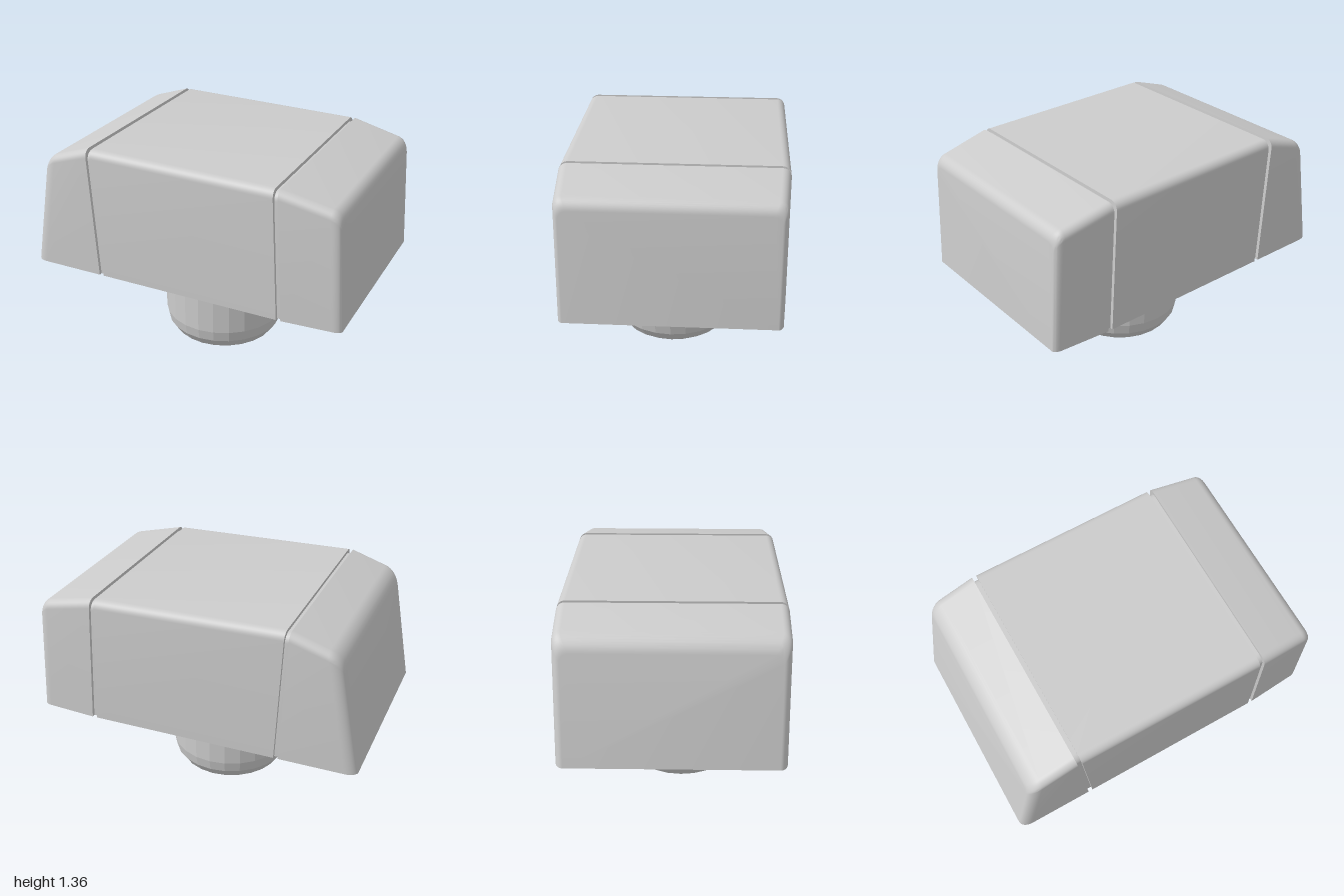
import * as THREE from 'three';
import { toCreasedNormals } from 'three/addons/utils/BufferGeometryUtils.js';

const BASE = 0.55;     // height of the body's underside
const EDGE = 0.05;     // rounding of the long top edges
const SEG = 8;         // segments per rounding

// One leaning cross-section: x at the base, lean (dx per dy), top height, half width
function section({ x, lean, h, w }) {
  const pts = [];
  const add = (z, y) => pts.push(new THREE.Vector3(x + lean * (y - BASE), y, z));
  add(-w, BASE);
  for (const side of [-1, 1]) {
    for (let i = 0; i <= SEG; i++) {
      const a = (i / SEG) * Math.PI / 2;
      const t = side < 0 ? a : Math.PI / 2 - a;
      add(side * (w - EDGE + EDGE * Math.cos(t)), h - EDGE + EDGE * Math.sin(t));
    }
  }
  add(w, BASE);
  return pts;
}

// Skin a row of cross-sections running from -x to +x and close both ends
function loft(stations) {
  const rings = stations.map(section);
  const n = rings[0].length;
  const pos = [];
  const tri = (...p) => p.forEach((v) => pos.push(v.x, v.y, v.z));
  for (let s = 0; s < rings.length - 1; s++) {
    const a = rings[s], b = rings[s + 1];
    for (let i = 0; i < n; i++) {
      const j = (i + 1) % n;
      tri(a[i], a[j], b[i]);
      tri(a[j], b[j], b[i]);
    }
  }
  const first = rings[0], last = rings[rings.length - 1];
  for (let i = 1; i < n - 1; i++) {
    tri(first[0], first[i + 1], first[i]);
    tri(last[0], last[i], last[i + 1]);
  }
  const geo = new THREE.BufferGeometry();
  geo.setAttribute('position', new THREE.Float32BufferAttribute(pos, 3));
  return toCreasedNormals(geo, 0.5);
}

// Rounded end, listed from the flat end face inwards; dir points into the body
function roundedEnd({ x, lean, h, w, slope, rTop, rSide, dir }) {
  return Array.from({ length: SEG + 1 }, (_, i) => {
    const a = (i / SEG) * Math.PI / 2;
    const inset = 1 - Math.sin(a);
    const run = rTop * (1 - Math.cos(a));
    return { x: x + dir * run, lean, h: h + slope * run - rTop * inset, w: w - rSide * inset };
  });
}

// Narrow recessed channel between two stations
function groove(a, b, depth = 0.02) {
  const sink = (s) => ({ ...s, h: s.h - depth, w: s.w - depth });
  return [a, sink(a), sink(b), b];
}

export function createModel() {
  const model = new THREE.Group();
  const grey = { color: 0xcccccc };

  // Body: sloped left end, long middle, tapered right end, split by two grooves
  const w = 0.64;
  const leftEnd = roundedEnd({ x: -1, lean: 0.18, h: 1.262, w, slope: 0.32, rTop: 0.07, rSide: 0.045, dir: 1 });
  const rightEnd = roundedEnd({ x: 1, lean: -0.06, h: 1.257, w: 0.62, slope: 0.226, rTop: 0.055, rSide: 0.03, dir: -1 });
  const stations = [
    ...leftEnd,
    ...groove({ x: -0.54, lean: -0.056, h: 1.355, w }, { x: -0.513, lean: -0.056, h: 1.355, w }),
    ...groove({ x: 0.622, lean: -0.05, h: 1.335, w }, { x: 0.65, lean: -0.05, h: 1.335, w }),
    ...rightEnd.reverse(),
  ];
  const body = new THREE.Mesh(loft(stations), new THREE.MeshStandardMaterial(grey));
  body.name = 'body';
  model.add(body);

  // Stem: faceted peg with a rounded lower rim
  const radius = 0.375, fillet = 0.18;
  const profile = [new THREE.Vector2(0, 0)];
  for (let i = 0; i <= 4; i++) {
    const a = (i / 4) * Math.PI / 2;
    profile.push(new THREE.Vector2(radius - fillet + fillet * Math.sin(a), fillet * (1 - Math.cos(a))));
  }
  profile.push(new THREE.Vector2(radius, BASE));
  const stem = new THREE.Mesh(
    new THREE.LatheGeometry(profile, 24),
    new THREE.MeshStandardMaterial({ ...grey, flatShading: true }),
  );
  stem.name = 'stem';
  stem.position.set(0.015, 0, 0.045);
  model.add(stem);

  return model;
}
